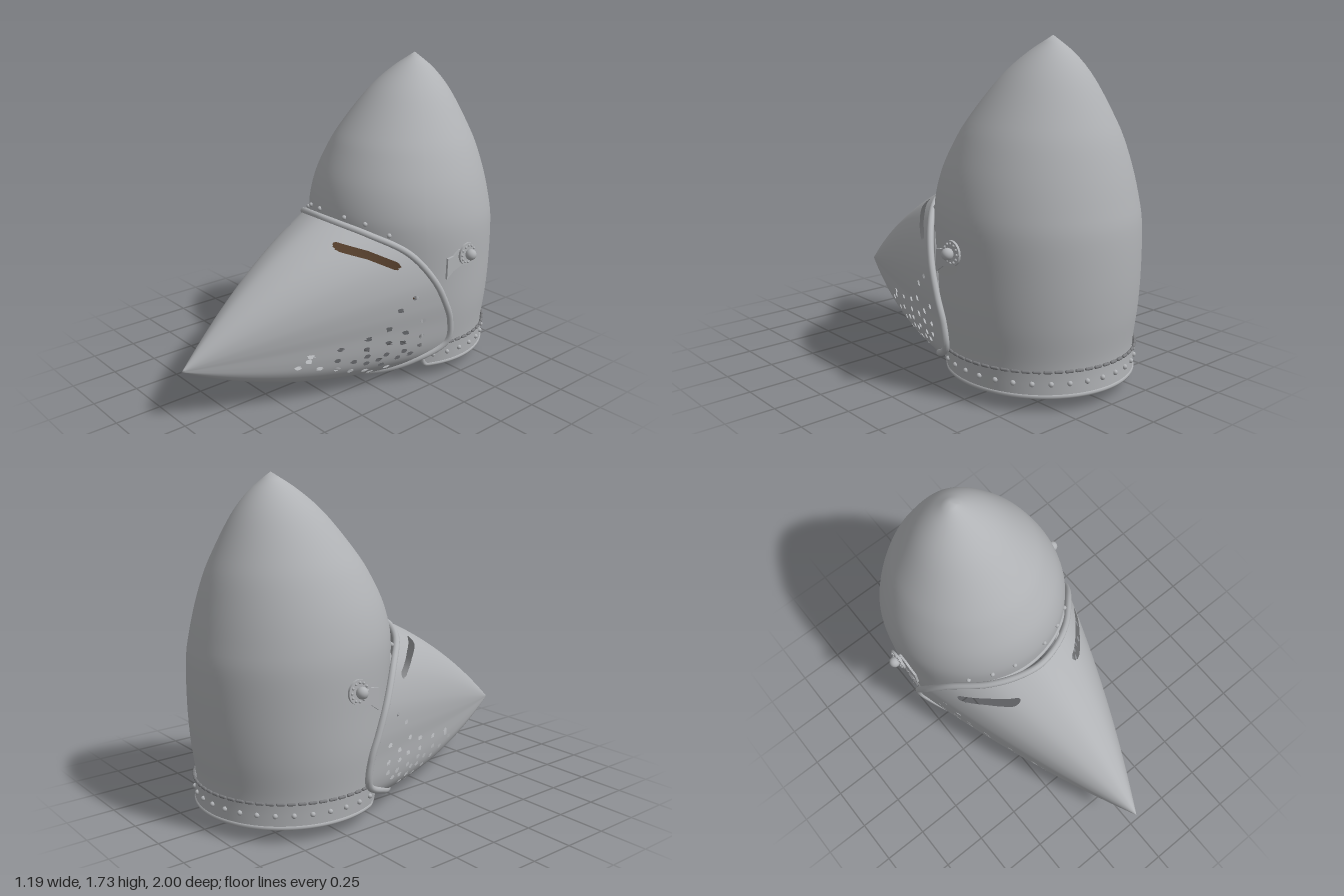
import * as THREE from 'three';
import { mergeVertices } from 'three/addons/utils/BufferGeometryUtils.js';

const V = (x, y, z) => new THREE.Vector3(x, y, z);
const mat = (name, color, side = THREE.FrontSide) => {
  const m = new THREE.MeshStandardMaterial({ color, side });
  m.name = name;
  return m;
};

// Surface from a rule fn(i, j) on a grid of nu x nv cells
function grid(nu, nv, fn) {
  const pos = [], idx = [];
  for (let j = 0; j <= nv; j++)
    for (let i = 0; i <= nu; i++) pos.push(...fn(i, j).toArray());
  for (let j = 0; j < nv; j++)
    for (let i = 0; i < nu; i++) {
      const a = j * (nu + 1) + i, b = a + 1, c = b + nu + 1, d = a + nu + 1;
      idx.push(a, b, c, a, c, d);
    }
  const g = new THREE.BufferGeometry();
  g.setAttribute('position', new THREE.Float32BufferAttribute(pos, 3));
  g.setIndex(idx);
  const merged = mergeVertices(g, 1e-5);
  merged.computeVertexNormals();
  return merged;
}

// Skull profile: (radius, height, centre z)
const TOP = 1.73;
const profile = new THREE.CatmullRomCurve3([
  V(0.47, 0.08, -0.5), V(0.48, 0.2, -0.488), V(0.502, 0.4, -0.488), V(0.511, 0.6, -0.488),
  V(0.516, 0.84, -0.475), V(0.505, 0.94, -0.468), V(0.471, 1.08, -0.47), V(0.41, 1.235, -0.485),
  V(0.365, 1.32, -0.495), V(0.218, 1.54, -0.53), V(0.11, 1.65, -0.552), V(0, TOP, -0.566),
]).getPoints(220);

function skullPoint(theta, y, out = 0) {
  let k = 1;
  while (k < profile.length - 1 && profile[k].y < y) k++;
  const a = profile[k - 1], b = profile[k];
  const p = a.clone().lerp(b, THREE.MathUtils.clamp((y - a.y) / (b.y - a.y), 0, 1));
  const r = Math.max(0, p.x + out);
  return V(r * Math.sin(theta), y, p.z + r * Math.cos(theta));
}

// Lower edge of the skull with the face opening, as (angle, height)
const HALF = 80;
const halfEdge = new THREE.CatmullRomCurve3([
  V(0, 0.8, 0), V(0.5, 0.79, 0), V(0.8, 0.72, 0), V(0.98, 0.5, 0), V(1.06, 0.25, 0),
  V(1.1, 0.08, 0), V(1.3, 0.08, 0), V(2.2, 0.08, 0), V(Math.PI, 0.08, 0),
]).getSpacedPoints(HALF);
function edgeAt(i) {
  const k = i - HALF, p = halfEdge[Math.abs(k)];
  return { theta: Math.sign(k) * p.x, y: Math.max(0.08, p.y) };
}
const skullShell = (out) => grid(2 * HALF, 48, (i, j) => {
  const e = edgeAt(i);
  return skullPoint(e.theta, THREE.MathUtils.lerp(e.y, TOP, j / 48), out);
});

// Visor rim loop: top, right side, bottom, then mirrored back up
const rimHalf = [
  V(0, 0.922, 0.112), V(-0.13, 0.908, 0.085), V(-0.27, 0.868, 0.01), V(-0.42, 0.77, -0.14),
  V(-0.5, 0.62, -0.25), V(-0.523, 0.48, -0.32), V(-0.522, 0.36, -0.365), V(-0.505, 0.23, -0.365),
  V(-0.42, 0.135, -0.21), V(-0.3, 0.072, -0.07), V(-0.15, 0.04, 0.03), V(0, 0.019, 0.06),
];
const rimCurve = new THREE.CatmullRomCurve3(
  [...rimHalf, ...rimHalf.slice(1, -1).reverse().map((p) => V(-p.x, p.y, p.z))], true);
const TIP = V(0, 0.305, 1);

// Breathing holes as (z, y) pairs seen from the side
const breaths = [
  0.45, 0.23, 0.4, 0.26, 0.39, 0.285, 0.34, 0.205, 0.25, 0.235, 0.24, 0.3, 0.245, 0.18,
  0.165, 0.15, 0.16, 0.21, 0.095, 0.335, 0.1, 0.275, 0.09, 0.23, 0.09, 0.185, 0.08, 0.13,
  0.035, 0.105, 0.025, 0.195, -0.02, 0.29, -0.015, 0.375, -0.015, 0.22, 0.0, 0.155,
  -0.045, 0.125, -0.067, 0.475, -0.083, 0.185, -0.1, 0.275, -0.11, 0.335, -0.115, 0.22,
  -0.147, 0.535, -0.153, 0.195, -0.205, 0.39, -0.205, 0.297, -0.205, 0.24,
];
const holes = [{ r: 0.021, pts: [[0.165, 0.822], [0.06, 0.783], [-0.06, 0.718]] }];
for (let i = 0; i < breaths.length; i += 2) {
  const [z, y] = [breaths[i], breaths[i + 1]];
  holes.push({ r: 0.0125, pts: [[z - 0.004, y], [z + 0.004, y]] });
}
// Nearest point on a hole's centre line, with its distance
function nearest(hole, z, y) {
  let best = { d: Infinity };
  for (let k = 1; k < hole.pts.length; k++) {
    const [az, ay] = hole.pts[k - 1], [bz, by] = hole.pts[k];
    const dz = bz - az, dy = by - ay;
    const s = THREE.MathUtils.clamp(((z - az) * dz + (y - ay) * dy) / (dz * dz + dy * dy), 0, 1);
    const cz = az + s * dz, cy = ay + s * dy, d = Math.hypot(z - cz, y - cy);
    if (d < best.d) best = { d, cz, cy };
  }
  return best;
}

// Pointed visor with pierced holes: fine grid whose points snap to the hole outlines
function visorGeometry() {
  const NU = 320, NV = 96;
  const ring = rimCurve.getSpacedPoints(NU);
  const g = grid(NU, NV, (i, j) => {
    const t = Math.pow(j / NV, 1.15), p = ring[i], bulge = 4 * t * (1 - t);
    const q = p.clone().lerp(TIP, t);
    q.x += bulge * p.x * 0.06;
    q.y += bulge * (p.y - 0.36) * (p.y > 0.36 ? 0.1 : 0.19);
    return q;
  });
  const pos = g.attributes.position, nor = g.attributes.normal;
  for (let i = 0; i < pos.count; i++) {
    const y = pos.getY(i), z = pos.getZ(i);
    for (const h of holes) {
      const n = nearest(h, z, y);
      if (Math.abs(n.d - h.r) > 0.0048) continue;
      const dz = (z - n.cz) * (h.r / n.d - 1), dy = (y - n.cy) * (h.r / n.d - 1);
      const nx = nor.getX(i), safe = Math.sign(nx) * Math.max(0.35, Math.abs(nx));
      const dx = -(nor.getY(i) * dy + nor.getZ(i) * dz) / safe;
      pos.setXYZ(i, pos.getX(i) + dx, y + dy, z + dz);
      break;
    }
  }
  const src = g.index.array, kept = [];
  for (let k = 0; k < src.length; k += 3) {
    const tri = [src[k], src[k + 1], src[k + 2]];
    const z = tri.reduce((s, v) => s + pos.getZ(v), 0) / 3;
    const y = tri.reduce((s, v) => s + pos.getY(v), 0) / 3;
    if (!holes.some((h) => nearest(h, z, y).d < h.r)) kept.push(...tri);
  }
  g.setIndex(kept);
  return g;
}

export function createModel() {
  const steel = mat('steel', 0xb0b2b5);
  const steelSheet = mat('steelSheet', 0xb0b2b5, THREE.DoubleSide);
  const darkSteel = mat('darkSteel', 0x7c7d80);
  const leather = mat('leather', 0x5c4430, THREE.DoubleSide);
  const model = new THREE.Group();
  model.name = 'helmet';
  const add = (name, geo, material, at, parent = model) => {
    const m = new THREE.Mesh(geo, material);
    m.name = name;
    if (at) m.position.copy(at);
    parent.add(m);
    return m;
  };

  // Skull, its lining and the edge bead
  add('skull', skullShell(0), steel);
  add('lining', skullShell(-0.014), leather);
  const edge = [];
  for (let i = 0; i < 2 * HALF; i++) {
    const e = edgeAt(i);
    edge.push(skullPoint(e.theta, e.y));
  }
  add('skullEdge', new THREE.TubeGeometry(new THREE.CatmullRomCurve3(edge, true), 260, 0.013, 8, true), steel);

  // Neck band with rivets and a row of lacing
  const start = 1.08, span = 2 * (Math.PI - start);
  add('neckBand', grid(80, 4, (i, j) =>
    skullPoint(start + span * i / 80, 0.085 + 0.115 * j / 4, 0.008)), steelSheet);
  const rivet = new THREE.SphereGeometry(0.013, 10, 8);
  for (let i = 0; i < 22; i++)
    add('bandRivet', rivet, steel, skullPoint(1.2 + (2 * Math.PI - 2.4) * i / 21, 0.143, 0.01));
  const lace = new THREE.CapsuleGeometry(0.008, 0.028, 3, 8).rotateZ(Math.PI / 2);
  for (let i = 0; i < 40; i++) {
    const th = start + 0.04 + (span - 0.08) * i / 39;
    add('lacing', lace, darkSteel, skullPoint(th, 0.204, 0.012)).rotation.y = th;
  }

  // Brow rivets
  for (const s of [-1, 1])
    for (const [th, y] of [[0.2, 0.925], [0.45, 0.91], [0.7, 0.86]])
      add('browRivet', rivet, steel, skullPoint(s * th, y, 0.003));

  // Visor and its rolled rim
  add('visor', visorGeometry(), steelSheet);
  add('visorRim', new THREE.TubeGeometry(rimCurve, 240, 0.018, 10, true), steel);

  // Side pivots: arm, washer, stud and small rivets
  const outline = [[0.325, 0.725], [0.322, 0.61], [0.37, 0.645], [0.45, 0.67], [0.46, 0.76], [0.41, 0.755], [0.37, 0.73]];
  const arm = new THREE.ExtrudeGeometry(
    new THREE.Shape(outline.map(([a, y]) => new THREE.Vector2(a, y))),
    { depth: 0.012, bevelEnabled: false }).translate(0, 0, -0.006).rotateY(Math.PI / 2);
  const disc = (r, h) => new THREE.CylinderGeometry(r, r, h, 28).rotateZ(Math.PI / 2);
  const washer = disc(0.062, 0.012), stem = disc(0.02, 0.06);
  const stud = new THREE.SphereGeometry(0.03, 18, 12), bead = new THREE.SphereGeometry(0.007, 8, 6);
  for (const s of [-1, 1]) {
    const pivot = new THREE.Group();
    pivot.name = s > 0 ? 'leftPivot' : 'rightPivot';
    add('arm', arm, steel, V(s * 0.522, 0, 0), pivot);
    add('washer', washer, steel, V(s * 0.542, 0.73, -0.458), pivot);
    add('stem', stem, steel, V(s * 0.53, 0.73, -0.458), pivot);
    add('stud', stud, steel, V(s * 0.567, 0.73, -0.458), pivot);
    for (let k = 0; k < 12; k++) {
      const a = k * Math.PI / 6;
      add('washerRivet', bead, steel, V(s * 0.549, 0.73 + 0.047 * Math.sin(a), -0.458 + 0.047 * Math.cos(a)), pivot);
    }
    model.add(pivot);
  }
  return model;
}
